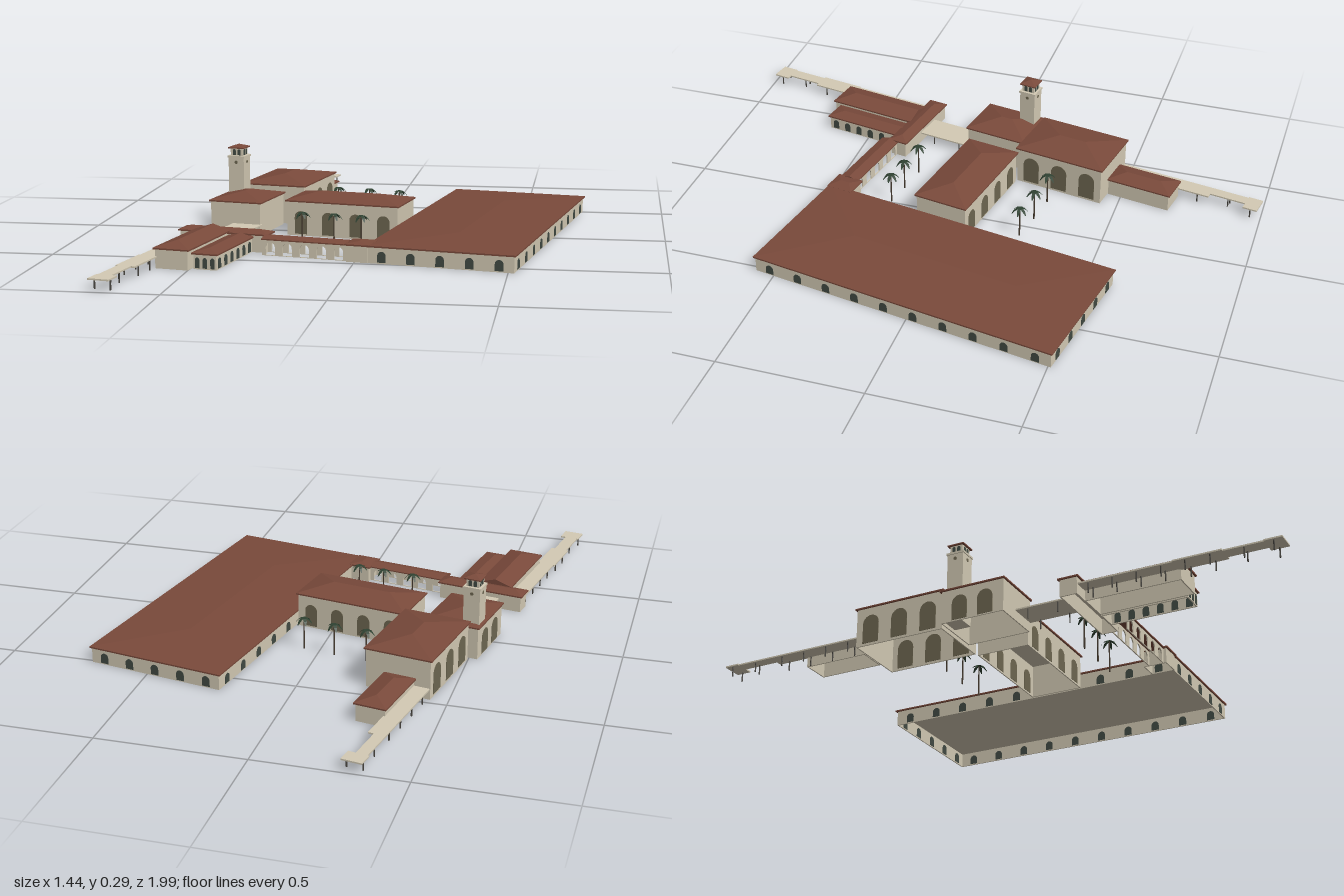
import * as THREE from 'three';

const mat = (color) => new THREE.MeshStandardMaterial({ color, flatShading: true, side: THREE.DoubleSide });
const WALL = mat(0xd3cab4), ROOF = mat(0x7a4a3b), GLASS = mat(0x414a43), RECESS = mat(0x6e6751);
const POST = mat(0x45423c), TRUNK = mat(0x453a2e), LEAF = mat(0x2f4232);

function add(parent, name, geo, material, x = 0, y = 0, z = 0) {
  const m = new THREE.Mesh(geo, material);
  m.name = name;
  m.position.set(x, y, z);
  parent.add(m);
  return m;
}

// box given by its limits
function slab(parent, name, material, x0, x1, y0, y1, z0, z1) {
  return add(parent, name, new THREE.BoxGeometry(x1 - x0, y1 - y0, z1 - z0), material,
    (x0 + x1) / 2, (y0 + y1) / 2, (z0 + z1) / 2);
}

// round-headed opening outline, w wide and h high, standing on y
function archPath(Type, cx, y, w, h) {
  const p = new Type(), r = w / 2;
  p.moveTo(cx - r, y);
  p.lineTo(cx + r, y);
  p.lineTo(cx + r, y + h - r);
  p.absarc(cx, y + h - r, r, 0, Math.PI, false);
  p.closePath();
  return p;
}

// hipped roof whose ridge runs along the longer side; hips are the insets of the two ends
function hipGeometry(x0, x1, z0, z1, rise, hips) {
  const alongX = x1 - x0 > z1 - z0;
  const mx = (x0 + x1) / 2, mz = (z0 + z1) / 2;
  const a = [x0, 0, z0], b = [x0, 0, z1], c = [x1, 0, z1], d = [x1, 0, z0];
  const r0 = alongX ? [x0 + hips[0], rise, mz] : [mx, rise, z0 + hips[0]];
  const r1 = alongX ? [x1 - hips[1], rise, mz] : [mx, rise, z1 - hips[1]];
  const tris = alongX
    ? [a, b, r0, c, d, r1, b, c, r1, b, r1, r0, d, a, r0, d, r0, r1]
    : [d, a, r0, b, c, r1, a, b, r1, a, r1, r0, c, d, r0, c, r0, r1];
  const g = new THREE.BufferGeometry();
  g.setAttribute('position', new THREE.Float32BufferAttribute(tris.flat(), 3));
  g.computeVertexNormals();
  return g;
}

// building without a floor: thin walls, ceiling, hipped roof and rows of arched windows
// windows: [side, count, width, height, sill, material, margin]
function building(parent, name, [x0, x1, z0, z1], eave, ridge, windows = [], hips) {
  const g = new THREE.Group();
  g.name = name;
  parent.add(g);
  const o = 0.006, t = 0.004, top = eave - 0.005;
  const [a, b, c, d] = [x0 + o, x1 - o, z0 + o, z1 - o];
  slab(g, 'leftWall', WALL, b - t, b, 0, top, c, d);
  slab(g, 'rightWall', WALL, a, a + t, 0, top, c, d);
  slab(g, 'frontWall', WALL, a, b, 0, top, d - t, d);
  slab(g, 'backWall', WALL, a, b, 0, top, c, c + t);
  slab(g, 'ceiling', WALL, a, b, top - 0.003, top, c, d);
  slab(g, 'eaves', ROOF, x0, x1, top, eave, z0, z1);
  const inset = Math.min(x1 - x0, z1 - z0) / 2;
  add(g, 'roof', hipGeometry(x0, x1, z0, z1, ridge - eave, hips || [inset, inset]), ROOF, 0, eave, 0);
  const sides = {
    front: [(a + b) / 2, d - t / 2, 0, b - a], back: [(a + b) / 2, c + t / 2, Math.PI, b - a],
    left: [b - t / 2, (c + d) / 2, Math.PI / 2, d - c], right: [a + t / 2, (c + d) / 2, -Math.PI / 2, d - c],
  };
  for (const [side, n, w, h, sill, material, margin = 0] of windows) {
    const [px, pz, ry, len] = sides[side];
    const row = new THREE.Group();
    row.name = side + 'Windows';
    row.position.set(px, 0, pz);
    row.rotation.y = ry;
    g.add(row);
    const span = len - 2 * margin;
    for (let i = 0; i < n; i++) {
      const geo = new THREE.ExtrudeGeometry(archPath(THREE.Shape, 0, 0, w, h),
        { depth: 0.007, bevelEnabled: false, curveSegments: 8 });
      add(row, 'window', geo, material, span * ((i + 0.5) / n - 0.5), sill, -0.0035);
    }
  }
  return g;
}

// open arcade: two pierced walls under a narrow roof
function arcade(parent, x0, x1, z0, z1, eave, ridge) {
  const g = new THREE.Group();
  g.name = 'arcade';
  parent.add(g);
  const n = 5, len = x1 - x0;
  const wall = new THREE.Shape([[0, 0], [len, 0], [len, eave - 0.004], [0, eave - 0.004]].map((p) => new THREE.Vector2(...p)));
  for (let i = 0; i < n; i++) wall.holes.push(archPath(THREE.Path, len * (i + 0.5) / n, 0.002, 0.032, 0.042));
  const geo = new THREE.ExtrudeGeometry(wall, { depth: 0.004, bevelEnabled: false, curveSegments: 8 });
  for (const z of [z0 + 0.006, z1 - 0.01]) add(g, 'arcadeWall', geo, WALL, x0, 0, z);
  slab(g, 'eaves', ROOF, x0, x1, eave - 0.004, eave, z0, z1);
  add(g, 'roof', hipGeometry(x0, x1, z0, z1, ridge - eave, [0, 0]), ROOF, 0, eave, 0);
}

function tower(parent, x, z) {
  const g = new THREE.Group();
  g.name = 'tower';
  g.position.set(x, 0, z);
  parent.add(g);
  const box = (name, w, y0, y1, m = WALL) => slab(g, name, m, -w / 2, w / 2, y0, y1, -w / 2, w / 2);
  box('shaft', 0.058, 0, 0.244);
  box('cornice', 0.064, 0.244, 0.251);
  box('belfry', 0.046, 0.251, 0.277);
  box('belfryEaves', 0.06, 0.277, 0.281, ROOF);
  const cap = add(g, 'towerRoof', new THREE.ConeGeometry(0.042, 0.01, 4), ROOF, 0, 0.286, 0);
  cap.rotation.y = Math.PI / 4;
  // openings on all four faces
  for (let i = 0; i < 4; i++) {
    const face = new THREE.Group();
    face.name = 'towerFace';
    face.rotation.y = i * Math.PI / 2;
    g.add(face);
    const opening = (px, y, w, h, pz) => add(face, 'opening', new THREE.ExtrudeGeometry(
      archPath(THREE.Shape, 0, 0, w, h), { depth: 0.002, bevelEnabled: false, curveSegments: 6 }), GLASS, px, y, pz);
    for (const s of [-1, 1]) opening(s * 0.009, 0.253, 0.011, 0.021, 0.0222);
    const dial = add(face, 'dial', new THREE.CylinderGeometry(0.006, 0.006, 0.002, 12), RECESS, 0, 0.228, 0.0292);
    dial.rotation.x = Math.PI / 2;
  }
}

function palm(parent, x, z) {
  const g = new THREE.Group();
  g.name = 'palm';
  g.position.set(x, 0, z);
  parent.add(g);
  add(g, 'trunk', new THREE.CylinderGeometry(0.002, 0.003, 0.113, 6), TRUNK, 0, 0.0565, 0);
  // each frond is a bent, tapering strip
  for (let i = 0; i < 6; i++) {
    const geo = new THREE.PlaneGeometry(0.03, 0.009, 3, 1);
    const p = geo.attributes.position;
    for (let k = 0; k < p.count; k++) {
      const u = p.getX(k) / 0.03 + 0.5;
      const half = p.getY(k) * (0.25 + 1.1 * Math.sin(Math.PI * (0.1 + 0.85 * u)));
      p.setXYZ(k, u * 0.029, 0.014 * u - 0.032 * u * u - Math.abs(half) * 0.3, half);
    }
    geo.computeVertexNormals();
    add(g, 'frond', geo, LEAF, 0, 0.114, 0).rotation.y = i * Math.PI / 3;
  }
}

export function createModel() {
  const model = new THREE.Group();
  model.name = 'railwayStation';
  const site = new THREE.Group();
  site.name = 'site';
  site.rotation.y = -THREE.MathUtils.degToRad(10);
  model.add(site);

  // buildings
  building(site, 'trainShed', [0.12, 0.616, -0.631, 0.475], 0.058, 0.07, [
    ['front', 5, 0.028, 0.036, 0.004, GLASS], ['back', 5, 0.028, 0.036, 0.004, GLASS],
    ['left', 10, 0.028, 0.033, 0.004, GLASS], ['right', 10, 0.028, 0.033, 0.004, GLASS]]);
  building(site, 'concourse', [-0.287, 0.125, -0.072, 0.128], 0.123, 0.146, [
    ['front', 4, 0.045, 0.08, 0.006, RECESS], ['back', 4, 0.045, 0.08, 0.006, RECESS]]);
  building(site, 'mainHall', [-0.523, -0.285, -0.4, -0.062], 0.14, 0.163, [
    ['left', 3, 0.06, 0.1, 0.008, RECESS], ['right', 3, 0.06, 0.1, 0.008, RECESS]]);
  building(site, 'entranceHall', [-0.553, -0.358, -0.06, 0.177], 0.117, 0.14, [
    ['right', 2, 0.055, 0.085, 0.004, RECESS, 0.02]]);
  building(site, 'backWing', [-0.467, -0.355, -0.631, -0.39], 0.065, 0.08);
  building(site, 'crossWing', [-0.553, -0.233, 0.363, 0.434], 0.062, 0.073);
  building(site, 'frontWing', [-0.493, -0.369, 0.42, 0.756], 0.067, 0.086, [], [0, 0.062]);
  building(site, 'lowFrontWing', [-0.373, -0.283, 0.42, 0.729], 0.053, 0.064, [
    ['left', 6, 0.022, 0.034, 0.004, GLASS], ['front', 3, 0.014, 0.034, 0.004, GLASS]], [0, 0.045]);
  building(site, 'cornerLodge', [0.05, 0.135, 0.382, 0.478], 0.059, 0.066, [], [0.03, 0.03]);
  arcade(site, -0.24, 0.056, 0.4, 0.468, 0.056, 0.065);
  tower(site, -0.514, -0.009);

  // platform canopies: x0, x1, z0, z1
  const canopies = [
    [-0.52, -0.45, -0.922, -0.87], [-0.515, -0.476, -0.87, -0.74], [-0.515, -0.456, -0.74, -0.39],
    [-0.465, -0.36, 0.16, 0.37], [-0.542, -0.49, 0.42, 0.744], [-0.547, -0.482, 0.744, 0.905],
    [-0.54, -0.495, 0.905, 1.035], [-0.545, -0.476, 1.035, 1.094],
  ];
  for (const [x0, x1, z0, z1] of canopies) {
    slab(site, 'canopy', WALL, x0, x1, 0.034, 0.039, z0, z1);
    const n = Math.max(1, Math.round((z1 - z0) / 0.09));
    for (let i = 0; i < n; i++)
      for (const x of [x0 + 0.008, x1 - 0.008])
        add(site, 'canopyPost', new THREE.CylinderGeometry(0.0025, 0.0025, 0.035, 6), POST, x, 0.0175, z0 + (z1 - z0) * (i + 0.5) / n);
  }

  // courtyard palms
  for (const [x, z] of [[-0.172, -0.257], [-0.056, -0.241], [0.056, -0.22], [-0.214, 0.241], [-0.103, 0.257], [-0.008, 0.273]])
    palm(model, x, z);
  return model;
}
